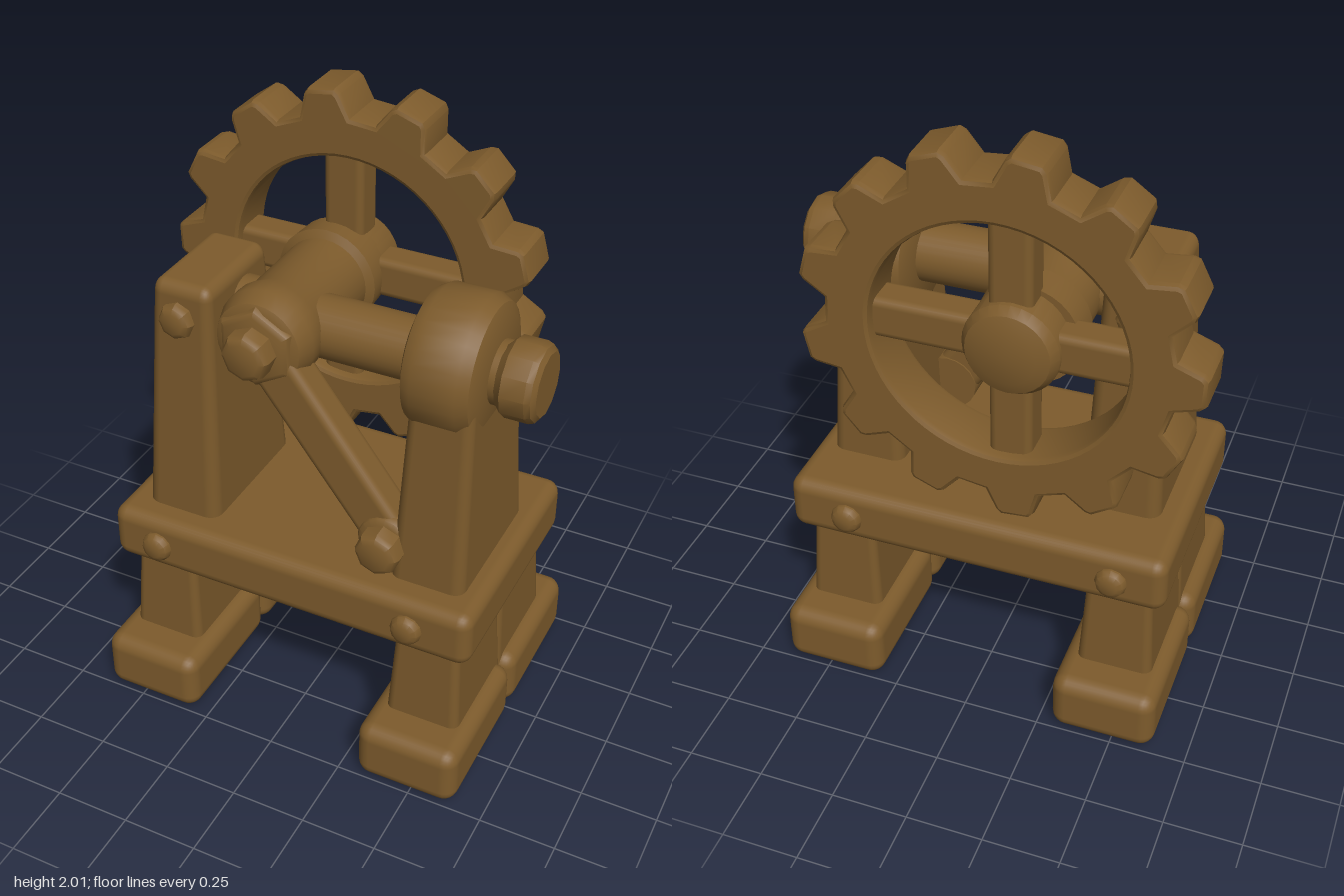
import * as THREE from 'three';
import { toCreasedNormals } from 'three/addons/utils/BufferGeometryUtils.js';
import { RoundedBoxGeometry } from 'three/addons/geometries/RoundedBoxGeometry.js';

export function createModel() {
  const model = new THREE.Group();
  const brown = new THREE.MeshStandardMaterial({ color: 0x7d5b2c });
  brown.name = 'brown';

  function add(name, geometry, x = 0, y = 0, z = 0) {
    const mesh = new THREE.Mesh(geometry, brown);
    mesh.name = name;
    mesh.position.set(x, y, z);
    model.add(mesh);
    return mesh;
  }

  // Rounded block between y0 and y1, narrowing from [w0, d0] to [w1, d1]
  function block(name, x, z, y0, y1, [w0, d0], [w1, d1] = [w0, d0], radius = 0.04) {
    const h = y1 - y0;
    const g = new RoundedBoxGeometry(w0, h, d0, 3, radius);
    const p = g.attributes.position;
    for (let i = 0; i < p.count; i++) {
      const t = p.getY(i) / h + 0.5;
      p.setX(i, p.getX(i) * (1 + (w1 / w0 - 1) * t));
      p.setZ(i, p.getZ(i) * (1 + (d1 / d0 - 1) * t));
    }
    return add(name, g, x, (y0 + y1) / 2, z);
  }

  // Turned part: [radius, distance] pairs along the x or z axis
  function turned(name, axis, profile, x, y, z, sides = 28) {
    const pts = profile.map(([r, d]) => new THREE.Vector2(r, d));
    const g = new THREE.LatheGeometry(pts, sides);
    if (axis === 'x') g.rotateZ(-Math.PI / 2);
    else g.rotateX(Math.PI / 2);
    return add(name, toCreasedNormals(g, 0.6), x, y, z);
  }

  // Short chamfered stud profile
  const stud = (r, d0, d1, c = 0.025) =>
    [[0, d0], [r, d0], [r, d1 - c], [r - c * 0.35, d1 - c * 0.35], [r - c, d1], [0, d1]];

  // Feet and legs, in touching front and back pairs
  for (const x of [-0.465, 0.48]) {
    for (const s of [-1, 1]) {
      block('foot', x, s * 0.25, 0, 0.21, [0.345, 0.5], undefined, 0.05);
      const leg = block('leg', x, s * 0.192, 0.15, 0.56, [0.255, 0.39], [0.21, 0.33], 0.03);
      leg.position.z = s * 0.18;
    }
  }

  // Table with bolts on its long edges
  block('table', 0.007, 0, 0.51, 0.705, [1.265, 0.81], undefined, 0.045);
  for (const x of [-0.455, 0.435]) {
    turned('tableBolt', 'z', stud(0.052, 0.36, 0.437), x, 0.605, 0, 12);
    turned('tableBolt', 'z', stud(0.052, 0.36, 0.437), x, 0.605, 0, 12).rotation.y = Math.PI;
  }

  // Flat-topped upright with a bolt on the front and back
  block('leftUpright', -0.412, 0.06, 0.64, 1.51, [0.265, 0.52], [0.2, 0.36], 0.045);
  turned('uprightBolt', 'z', stud(0.06, 0.15, 0.285), -0.42, 1.39, 0, 8);
  turned('uprightBolt', 'z', stud(0.06, 0.03, 0.17), -0.42, 1.39, 0, 8).rotation.y = Math.PI;

  // Upright with a round bearing head
  block('rightUpright', 0.45, 0.055, 0.64, 1.4, [0.25, 0.52], [0.2, 0.37], 0.04);
  turned('bearingHead', 'x', [[0, 0.315], [0.17, 0.315], [0.205, 0.33], [0.225, 0.365],
    [0.225, 0.505], [0.205, 0.54], [0.17, 0.555], [0, 0.555]], 0, 1.38, 0.06, 32);

  // Cross shaft and its end cap
  turned('shaft', 'x', [[0, -0.14], [0.1, -0.14], [0.1, 0.6], [0, 0.6]], 0, 1.375, 0.055);
  turned('shaftStub', 'x', [[0, -0.36], [0.085, -0.36], [0.085, -0.14], [0, -0.14]], 0, 1.375, 0.03);
  turned('endCap', 'x', [[0, 0.575], [0.1, 0.575], [0.125, 0.6], [0.125, 0.675],
    [0.118, 0.693], [0.1, 0.705], [0, 0.705]], 0, 1.375, 0.06, 12);

  // Wheel hub with a flange, front nut and bolt
  const hx = -0.14, hy = 1.38;
  turned('hub', 'z', [[0, -0.3], [0.165, -0.3], [0.17, -0.2], [0.145, -0.185], [0.145, 0.1],
    [0.16, 0.14], [0.16, 0.2], [0.14, 0.255], [0.12, 0.265], [0, 0.265]], hx, hy, 0);
  turned('hubNut', 'z', stud(0.135, 0.2, 0.285), hx, hy, 0, 6);
  turned('hubBolt', 'z', stud(0.08, 0.25, 0.355), hx, hy, 0, 8);
  turned('hubDome', 'z', [[0, -0.445], [0.09, -0.44], [0.13, -0.425], [0.15, -0.395],
    [0.15, -0.25], [0, -0.25]], -0.125, 1.385, 0);

  // Toothed ring
  const gx = -0.085, gy = 1.393, teeth = 13, step = Math.PI * 2 / teeth;
  const outline = new THREE.Shape();
  for (let i = 0; i < teeth; i++) {
    const mid = 1.72 + i * step;
    for (const [t, r] of [[-0.34, 0.53], [-0.21, 0.6], [-0.15, 0.615], [0.15, 0.615], [0.21, 0.6], [0.34, 0.53]]) {
      const a = mid + t * step;
      const x = Math.cos(a) * r * 1.015, y = Math.sin(a) * r;
      if (i === 0 && t === -0.34) outline.moveTo(x, y);
      else outline.lineTo(x, y);
    }
  }
  outline.closePath();
  const hole = new THREE.Path();
  hole.absarc(0, 0, 0.395, 0, Math.PI * 2, true);
  outline.holes.push(hole);
  const ring = new THREE.ExtrudeGeometry(outline, {
    depth: 0.145, bevelThickness: 0.02, bevelSize: 0.015, bevelOffset: -0.015,
    bevelSegments: 2, curveSegments: 32,
  });
  add('gearRing', toCreasedNormals(ring, 0.5), gx, gy, -0.395);

  // Four spokes
  const upright = new RoundedBoxGeometry(0.135, 0.86, 0.12, 2, 0.025);
  const level = new RoundedBoxGeometry(0.88, 0.135, 0.12, 2, 0.025);
  add('verticalSpokes', upright, -0.115, gy, -0.32);
  add('levelSpokes', level, gx, 1.385, -0.32);

  // Slanting link from the hub to the lower pivot
  const ex = 0.3, ey = 0.8, dx = ex - hx, dy = ey - hy;
  const link = new RoundedBoxGeometry(Math.hypot(dx, dy), 0.16, 0.12, 3, 0.03);
  add('link', link, (hx + ex) / 2, (hy + ey) / 2, 0.215).rotation.z = Math.atan2(dy, dx);
  turned('linkEnd', 'z', stud(0.098, 0.15, 0.29), ex, ey, 0, 20);
  turned('linkBolt', 'z', stud(0.075, 0.25, 0.36), ex, ey, 0, 8);

  return model;
}
